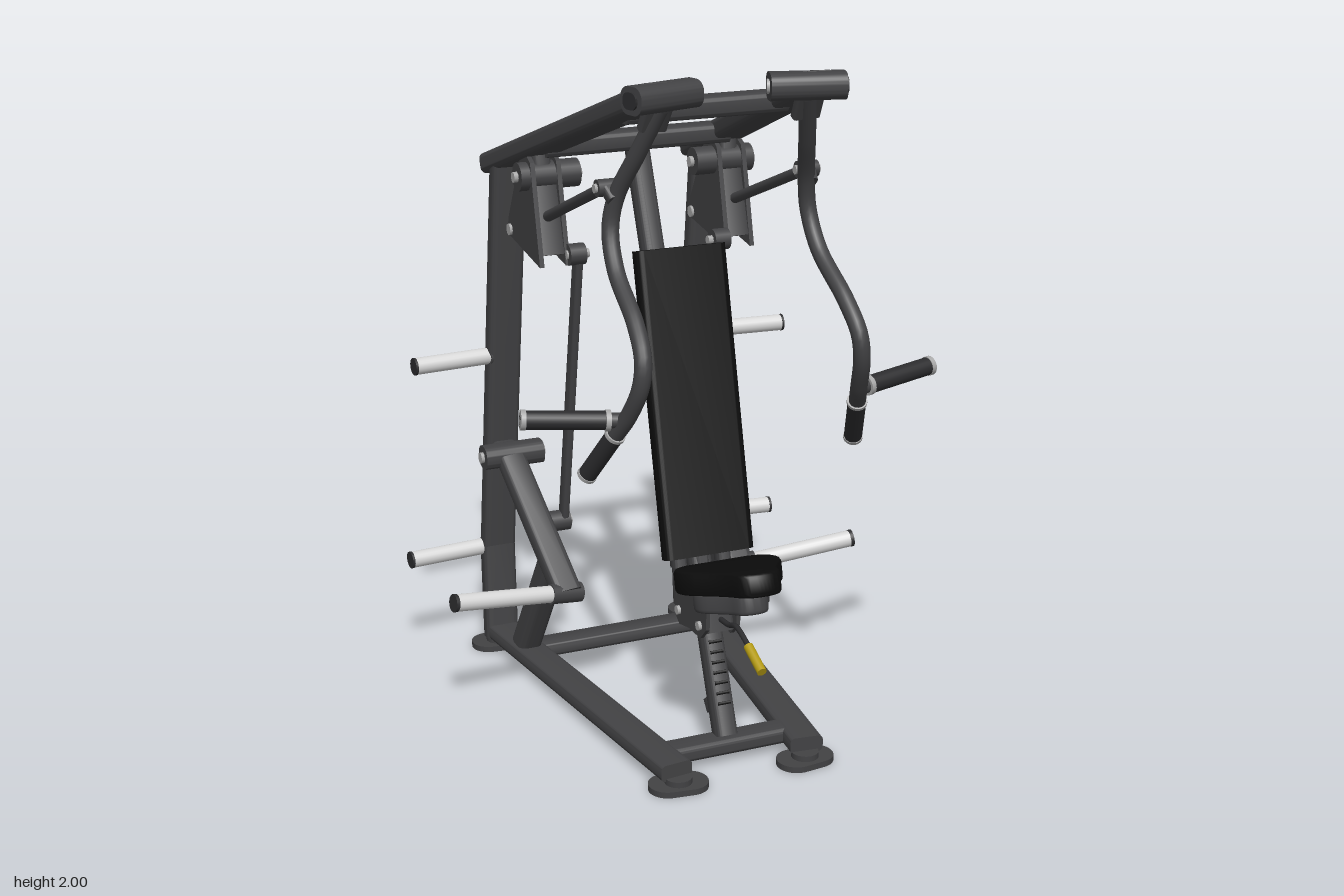
import * as THREE from 'three';
import { toCreasedNormals } from 'three/addons/utils/BufferGeometryUtils.js';

const V = (p) => new THREE.Vector3(...p);
const material = (name, color) => {
  const m = new THREE.MeshStandardMaterial({ color });
  m.name = name;
  return m;
};

export function createModel() {
  const root = new THREE.Group();
  root.name = 'chestPressMachine';
  const frame = material('frameGrey', 0x424244);
  const pad = material('padBlack', 0x0c0c0c);
  const grip = material('gripGrey', 0x2c2c2e);
  const sleeve = material('sleeveSilver', 0xd6d6d6);
  const steel = material('boltSteel', 0xa8a8a8);
  const yellow = material('adjusterYellow', 0xb39a14);

  function add(name, geo, mat) {
    const m = new THREE.Mesh(geo, mat);
    m.name = name;
    root.add(m);
    return m;
  }

  function roundRect(w, h, r) {
    const s = new THREE.Shape(), x = w / 2, y = h / 2;
    s.moveTo(-x + r, -y);
    s.lineTo(x - r, -y); s.absarc(x - r, -y + r, r, -Math.PI / 2, 0);
    s.lineTo(x, y - r); s.absarc(x - r, y - r, r, 0, Math.PI / 2);
    s.lineTo(-x + r, y); s.absarc(-x + r, y - r, r, Math.PI / 2, Math.PI);
    s.lineTo(-x, -y + r); s.absarc(-x + r, -y + r, r, Math.PI, Math.PI * 1.5);
    return s;
  }

  // Rounded rectangular bar from a to b; w runs sideways (or along z for crosswise bars)
  function bar(name, a, b, w, h, mat = frame, r = Math.min(w, h) * 0.3) {
    const A = V(a), d = V(b).sub(A), len = d.length();
    d.normalize();
    const x = Math.abs(d.x) > 0.8 ? new THREE.Vector3(0, 0, 1) : new THREE.Vector3(1, 0, 0);
    x.addScaledVector(d, -x.dot(d)).normalize();
    const y = new THREE.Vector3().crossVectors(d, x);
    const geo = new THREE.ExtrudeGeometry(roundRect(w, h, r), { depth: len, bevelEnabled: false, curveSegments: 5 });
    geo.applyMatrix4(new THREE.Matrix4().makeBasis(x, y, d).setPosition(A));
    return add(name, toCreasedNormals(geo, 0.6), mat);
  }

  // Round rod from a to b
  function rod(name, a, b, r, mat = frame, sides = 20) {
    const A = V(a), d = V(b).sub(A);
    const m = add(name, new THREE.CylinderGeometry(r, r, d.length(), sides), mat);
    m.position.copy(A).addScaledVector(d, 0.5);
    m.quaternion.setFromUnitVectors(new THREE.Vector3(0, 1, 0), d.normalize());
    return m;
  }

  // Side plate from [z, y] outline, centred on x
  function plate(name, pts, x, t, mat = frame, holes = []) {
    const s = new THREE.Shape(pts.map((p) => new THREE.Vector2(...p)));
    for (const [z, y, r] of holes) s.holes.push(new THREE.Path().absarc(z, y, r, 0, Math.PI * 2, true));
    const geo = new THREE.ExtrudeGeometry(s, { depth: t, bevelEnabled: false, curveSegments: 8 });
    geo.translate(0, 0, -t / 2).rotateY(-Math.PI / 2).translate(x, 0, 0);
    return add(name, geo, mat);
  }

  const bolt = (x, y, z, half, r = 0.014) => rod('bolt', [x - half, y, z], [x + half, y, z], r, steel, 8);
  const lerp = (a, b, t) => V(a).lerp(V(b), t).toArray();

  // Base crossbars, top crossbars and central post
  bar('frontBaseBar', [-0.22, 0.052, 0.42], [0.22, 0.052, 0.42], 0.08, 0.048);
  bar('rearBaseBar', [-0.31, 0.052, -0.415], [0.31, 0.052, -0.415], 0.08, 0.048);
  bar('frontTopBar', [-0.24, 1.885, 0.24], [0.24, 1.885, 0.24], 0.075, 0.06);
  bar('rearTopBar', [-0.29, 1.705, -0.25], [0.29, 1.705, -0.25], 0.08, 0.06);
  bar('centrePost', [0, 0.07, 0.41], [0, 1.7, -0.25], 0.066, 0.064);
  bar('postFoot', [0, 0.13, 0.36], [0, 0.16, 0.335], 0.06, 0.06);
  for (let i = 0; i < 8; i++) {
    const t = 0.06 + i * 0.017;
    const p = lerp([0, 0.07, 0.446], [0, 1.7, -0.214], t);
    rod('adjustSlot', [-0.02, p[1], p[2] - 0.005], [0.02, p[1], p[2] - 0.005], 0.006, pad, 8);
  }

  for (const s of [1, -1]) {
    const P = (x, y, z) => [s * x, y, z];

    // Main side frame
    bar('baseRail', P(0.205, 0.052, 0.53), P(0.335, 0.052, -0.6), 0.1, 0.05);
    bar('lowerUpright', P(0.335, 0.03, -0.605), P(0.332, 0.35, -0.628), 0.105, 0.064);
    bar('upperUpright', P(0.332, 0.33, -0.628), P(0.325, 1.62, -0.462), 0.105, 0.06);
    bar('topBeam', P(0.33, 1.605, -0.54), P(0.225, 1.97, 0.46), 0.118, 0.062);
    bar('stopStrut', P(0.315, 0.07, -0.42), P(0.29, 0.44, -0.215), 0.075, 0.085);

    // Oval feet
    for (const [x, z, turn] of [[0.2, 0.53, 0.12], [0.345, -0.6, 0.12]]) {
      const geo = new THREE.ExtrudeGeometry(roundRect(0.175, 0.115, 0.056), { depth: 0.018, bevelEnabled: false, curveSegments: 8 });
      const foot = add('foot', toCreasedNormals(geo.rotateX(-Math.PI / 2), 0.6), frame);
      foot.position.set(s * x, 0, z);
      foot.rotation.y = s * turn;
      rod('footStem', P(x, 0.015, z), P(x, 0.035, z), 0.04);
    }

    // Top pivot housing
    bar('armPivot', P(0.31, 1.96, 0.47), P(0.11, 1.96, 0.415), 0.09, 0.075, frame, 0.032);
    bar('pivotCap', P(0.316, 1.96, 0.472), P(0.309, 1.96, 0.47), 0.055, 0.045, grip, 0.02);
    rod('pivotBolt', P(0.105, 1.96, 0.413), P(0.112, 1.96, 0.416), 0.02, steel);
    bar('armYoke', P(0.22, 1.95, 0.45), P(0.225, 1.87, 0.405), 0.08, 0.03);

    // Swinging press arm and its two grips
    const path = new THREE.CatmullRomCurve3([
      P(0.215, 1.93, 0.44), P(0.25, 1.8, 0.37), P(0.285, 1.67, 0.3), P(0.298, 1.58, 0.29), P(0.305, 1.48, 0.345),
      P(0.312, 1.37, 0.5), P(0.32, 1.29, 0.57), P(0.328, 1.22, 0.573), P(0.345, 1.13, 0.53), P(0.367, 1.06, 0.48),
    ].map(V));
    add('pressArm', new THREE.TubeGeometry(path, 48, 0.024, 14), frame);
    const low = [P(0.362, 1.075, 0.49), P(0.41, 0.92, 0.38)];
    const out = [P(0.35, 1.11, 0.505), P(0.62, 1.128, 0.443)];
    for (const [a, b, start] of [[...low, 0.05], [...out, 0.13]]) {
      rod('gripTube', a, b, 0.021);
      rod('gripRing', lerp(a, b, start), lerp(a, b, start + 0.05), 0.029, steel);
      rod('rubberGrip', lerp(a, b, start + 0.05), lerp(a, b, 0.95), 0.026, grip);
      rod('gripEnd', lerp(a, b, 0.95), lerp(a, b, 1), 0.028, steel);
    }

    // Push rod from arm to rocker
    rod('pushRod', P(0.305, 1.685, 0.25), P(0.295, 1.43, -0.4), 0.016);
    rod('rodJoint', P(0.27, 1.692, 0.272), P(0.33, 1.692, 0.272), 0.024);
    bar('rodLug', P(0.295, 1.692, 0.28), P(0.287, 1.665, 0.31), 0.05, 0.035);
    bolt(s * 0.3, 1.692, 0.272, 0.038, 0.013);

    // Triangular rocker with its housing
    const tri = [[-0.15, 1.37], [-0.41, 1.41], [-0.425, 1.43], [-0.42, 1.46], [-0.31, 1.665], [-0.27, 1.69], [-0.22, 1.665]];
    for (const x of [0.255, 0.335]) plate('rockerPlate', tri, s * x, 0.014);
    bar('rockerWeb', P(0.295, 1.4, -0.17), P(0.295, 1.64, -0.245), 0.075, 0.02);
    rod('rockerPivot', P(0.185, 1.62, -0.255), P(0.37, 1.62, -0.255), 0.042);
    bar('rockerHanger', P(0.295, 1.62, -0.255), P(0.3, 1.7, -0.27), 0.055, 0.06);
    bolt(s * 0.278, 1.62, -0.255, 0.105, 0.016);
    bolt(s * 0.295, 1.43, -0.4, 0.055, 0.018);

    // Long link between rocker and weight lever
    bar('link', P(0.222, 1.4, -0.155), P(0.222, 0.52, -0.31), 0.022, 0.042);
    rod('linkTop', P(0.205, 1.4, -0.155), P(0.255, 1.4, -0.155), 0.032);
    rod('linkBottom', P(0.205, 0.515, -0.315), P(0.3, 0.515, -0.315), 0.032);
    bolt(s * 0.225, 1.4, -0.155, 0.035);
    bolt(s * 0.24, 0.515, -0.315, 0.045);

    // Weight lever, its pivot and loading peg
    bar('weightLever', P(0.33, 0.675, -0.48), P(0.285, 0.355, -0.115), 0.085, 0.06);
    bar('leverPivot', P(0.225, 0.685, -0.5), P(0.415, 0.685, -0.5), 0.08, 0.072, frame, 0.03);
    bar('pivotBracket', P(0.33, 0.685, -0.5), P(0.33, 0.685, -0.57), 0.08, 0.06);
    bolt(s * 0.32, 0.685, -0.5, 0.105, 0.018);
    const pegs = [
      [P(0.24, 0.35, -0.13), P(0.66, 0.405, -0.073), 0.24],
      [P(0.34, 1.0, -0.545), P(0.622, 1.0, -0.522), 0.13],
      [P(0.34, 0.335, -0.638), P(0.63, 0.335, -0.61), 0.13],
    ];
    for (const [a, b, t] of pegs) {
      rod('pegCollar', a, lerp(a, b, t), 0.031);
      rod('weightPeg', lerp(a, b, t), lerp(a, b, 0.975), 0.026, sleeve);
      rod('pegCap', lerp(a, b, 0.975), b, 0.027, grip);
    }
  }

  // Back pad with ribbed backing frame
  bar('backPad', [0, 0.59, 0.282], [0, 1.45, 0.068], 0.28, 0.055, pad, 0.022);
  bar('backPlate', [0, 0.62, 0.238], [0, 1.4, 0.044], 0.24, 0.014, grip);
  for (const x of [-0.07, 0, 0.07]) bar('backRail', [x, 0.54, 0.232], [x, 1.3, 0.032], 0.04, 0.05);
  bar('backHinge', [-0.05, 0.62, 0.17], [0.05, 0.62, 0.17], 0.08, 0.05);
  for (const y of [0.64, 1.25]) bolt(0, y, 0.205 - (y - 0.64) * 0.25, 0.095, 0.012);

  // Back adjuster: perforated strap and yellow pull knob
  const holes = [0, 1, 2, 3, 4, 5].map((i) => [-0.02 - i * 0.026, 1.115 - i * 0.015 - i * i * 0.001, 0.007]);
  const strap = [[0.05, 1.17], [0.05, 1.11], [-0.05, 1.075], [-0.15, 1.0], [-0.18, 1.015], [-0.175, 1.05], [-0.09, 1.11], [0, 1.155]];
  plate('adjusterStrap', strap, 0.045, 0.01, sleeve, holes);
  rod('knobBarrel', [0.03, 1.1, -0.055], [0.1, 1.1, -0.055], 0.018, grip);
  rod('knobNeck', [0.095, 1.1, -0.055], [0.13, 1.1, -0.055], 0.013, yellow);
  rod('knobHead', [0.13, 1.1, -0.055], [0.142, 1.1, -0.055], 0.026, yellow);

  // Tapered seat pad and its tray, drawn flat then tilted
  const seatShape = (k) => {
    const s = new THREE.Shape();
    s.moveTo(-0.1 * k, -0.16 * k);
    s.lineTo(0.1 * k, -0.16 * k);
    s.bezierCurveTo(0.15 * k, -0.15 * k, 0.17 * k, -0.1 * k, 0.145 * k, -0.04 * k);
    s.bezierCurveTo(0.11 * k, 0.02 * k, 0.075 * k, 0.06 * k, 0.06 * k, 0.13 * k);
    s.quadraticCurveTo(0.045 * k, 0.163 * k, 0, 0.163 * k);
    s.quadraticCurveTo(-0.045 * k, 0.163 * k, -0.06 * k, 0.13 * k);
    s.bezierCurveTo(-0.075 * k, 0.06 * k, -0.11 * k, 0.02 * k, -0.145 * k, -0.04 * k);
    s.bezierCurveTo(-0.17 * k, -0.1 * k, -0.15 * k, -0.15 * k, -0.1 * k, -0.16 * k);
    return s;
  };
  for (const [name, k, depth, low, back, mat] of [['seatPad', 0.96, 0.042, -0.021, 0, pad], ['seatTray', 0.66, 0.035, -0.08, -0.02, frame]]) {
    const geo = new THREE.ExtrudeGeometry(seatShape(k), { depth, bevelThickness: 0.012, bevelSize: 0.008, bevelSegments: 3, curveSegments: 8 });
    geo.rotateX(Math.PI / 2).translate(0, low + depth, back);
    const seat = add(name, toCreasedNormals(geo, 0.7), mat);
    seat.position.set(0, 0.597, 0.503);
    seat.rotation.x = -0.25;
  }

  // Seat carriage plates, bolts and release handle
  const carriage = [[0.39, 0.4], [0.395, 0.48], [0.36, 0.52], [0.25, 0.515], [0.22, 0.49], [0.17, 0.41], [0.165, 0.37], [0.2, 0.345], [0.27, 0.36], [0.35, 0.36]];
  for (const x of [-0.048, 0.048]) {
    plate('carriagePlate', carriage, x, 0.012);
    bar('seatBracket', [x, 0.49, 0.3], [x, 0.54, 0.48], 0.02, 0.05);
  }
  for (const [z, y] of [[0.35, 0.48], [0.35, 0.4], [0.24, 0.48], [0.2, 0.39]]) bolt(0, y, z, 0.064);
  bar('carriageBlock', [0, 0.38, 0.36], [0, 0.5, 0.33], 0.085, 0.05);
  const leverPath = new THREE.CatmullRomCurve3([[0, 0.42, 0.37], [0, 0.425, 0.43], [0, 0.44, 0.48], [0, 0.415, 0.56]].map(V));
  add('releaseRod', new THREE.TubeGeometry(leverPath, 16, 0.008, 8), grip);
  rod('releaseGrip', [0, 0.413, 0.56], [0, 0.372, 0.65], 0.014, yellow);

  return root;
}
